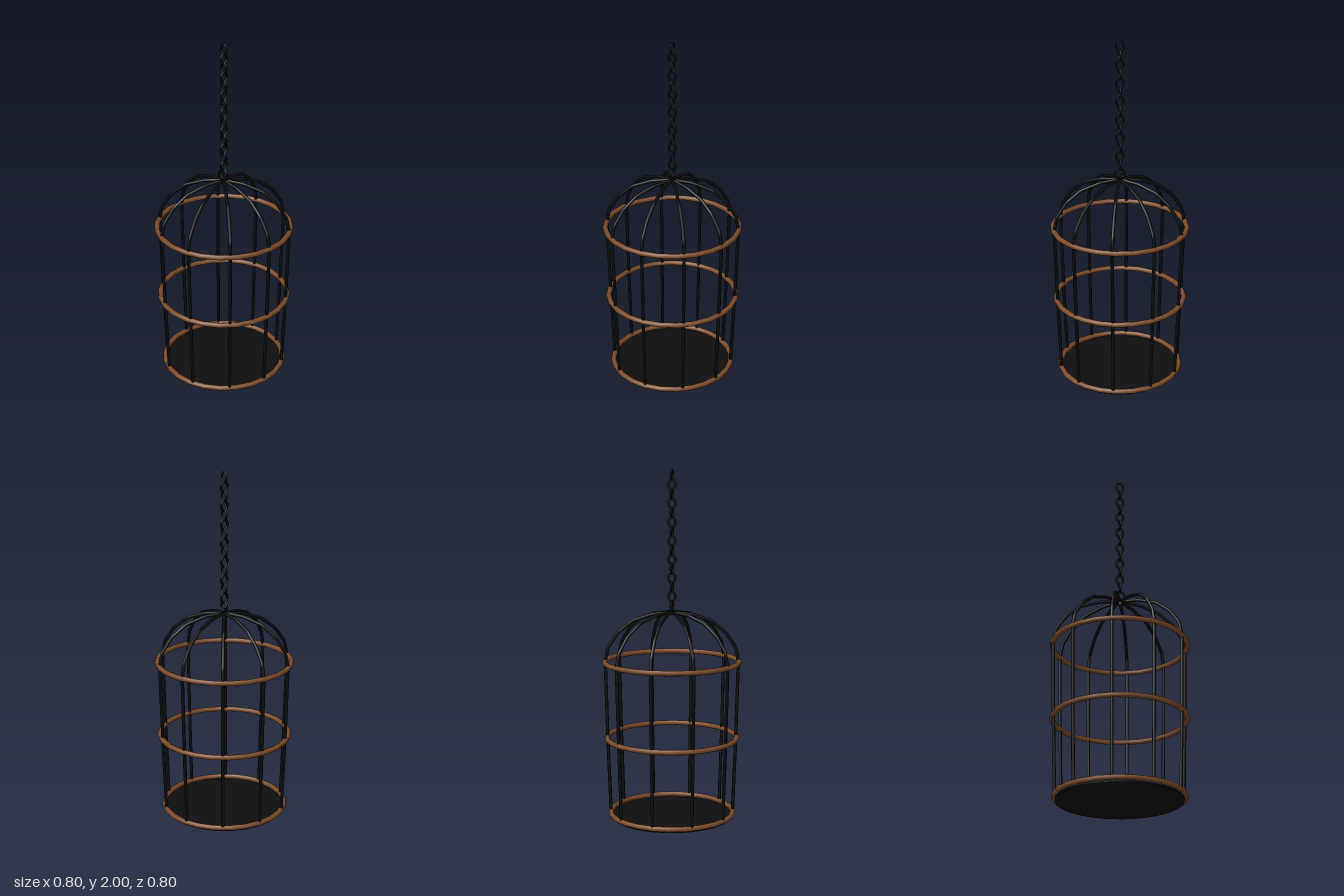
import * as THREE from 'three';

export function createModel() {
  const model = new THREE.Group();
  const material = (name, color, side = THREE.FrontSide) => {
    const m = new THREE.MeshStandardMaterial({ color, side });
    m.name = name;
    return m;
  };
  const iron = material('black iron', 0x0a0c0e);
  const floorBlack = material('floor black', 0x0f0f0f);
  const wood = material('brown wood', 0x7a4c2c);

  const add = (name, geometry, mat, parent = model) => {
    const mesh = new THREE.Mesh(geometry, mat);
    mesh.name = name;
    parent.add(mesh);
    return mesh;
  };

  // Floor plate, just below the lowest hoop
  add('floor', new THREE.CylinderGeometry(0.35, 0.35, 0.006, 24), floorBlack).position.y = 0.003;

  // Three wooden hoops, widening upwards
  for (const [name, y, radius] of [
    ['bottomHoop', 0.022, 0.355],
    ['middleHoop', 0.465, 0.375],
    ['topHoop', 0.907, 0.385],
  ]) {
    const hoop = add(name, new THREE.TorusGeometry(radius, 0.015, 8, 24), wood);
    hoop.rotation.x = Math.PI / 2;
    hoop.position.y = y;
  }

  // Ten bars: straight sides, then a dome of straight segments to the crown
  const profile = [
    [0.354, 0.015], [0.37, 0.465], [0.381, 0.91], [0.365, 0.99], [0.308, 1.075],
    [0.225, 1.142], [0.115, 1.18], [0.018, 1.192],
  ].map(([x, y]) => new THREE.Vector3(x, y, 0));
  const path = new THREE.CurvePath();
  for (let i = 1; i < profile.length; i++) {
    path.add(new THREE.LineCurve3(profile[i - 1], profile[i]));
  }
  const barGeometry = new THREE.TubeGeometry(path, 60, 0.0095, 8);
  const capGeometry = new THREE.CircleGeometry(0.0095, 8);
  for (let i = 0; i < 10; i++) {
    const bar = new THREE.Group();
    bar.name = 'bar';
    add('rod', barGeometry, iron, bar);
    // Close both rod ends
    const foot = add('foot', capGeometry, iron, bar);
    foot.position.copy(profile[0]);
    foot.rotation.x = Math.PI / 2;
    const tip = add('tip', capGeometry, iron, bar);
    tip.position.copy(profile[profile.length - 1]);
    tip.rotation.y = -Math.PI / 2;
    bar.rotation.y = (i * Math.PI) / 5;
    model.add(bar);
  }

  // Hanging chain: a round ring, then oval links turned alternately
  const chain = new THREE.Group();
  chain.name = 'chain';
  model.add(chain);
  const linkGeometry = (halfWidth, halfHeight, tube) => {
    const points = [];
    for (let i = 0; i < 12; i++) {
      const a = (i * Math.PI) / 6;
      points.push(new THREE.Vector3(halfWidth * Math.cos(a), halfHeight * Math.sin(a), 0));
    }
    return new THREE.TubeGeometry(new THREE.CatmullRomCurve3(points, true), 16, tube, 6, true);
  };
  const oval = linkGeometry(0.021, 0.029, 0.0062);
  add('chainRing', linkGeometry(0.028, 0.028, 0.0062), iron, chain).position.y = 1.23;
  for (let i = 1; i < 15; i++) {
    const link = add('chainLink', oval, iron, chain);
    link.position.y = 1.23 + i * 0.0525;
    link.rotation.y = (i % 2) * (Math.PI / 2);
  }

  return model;
}
